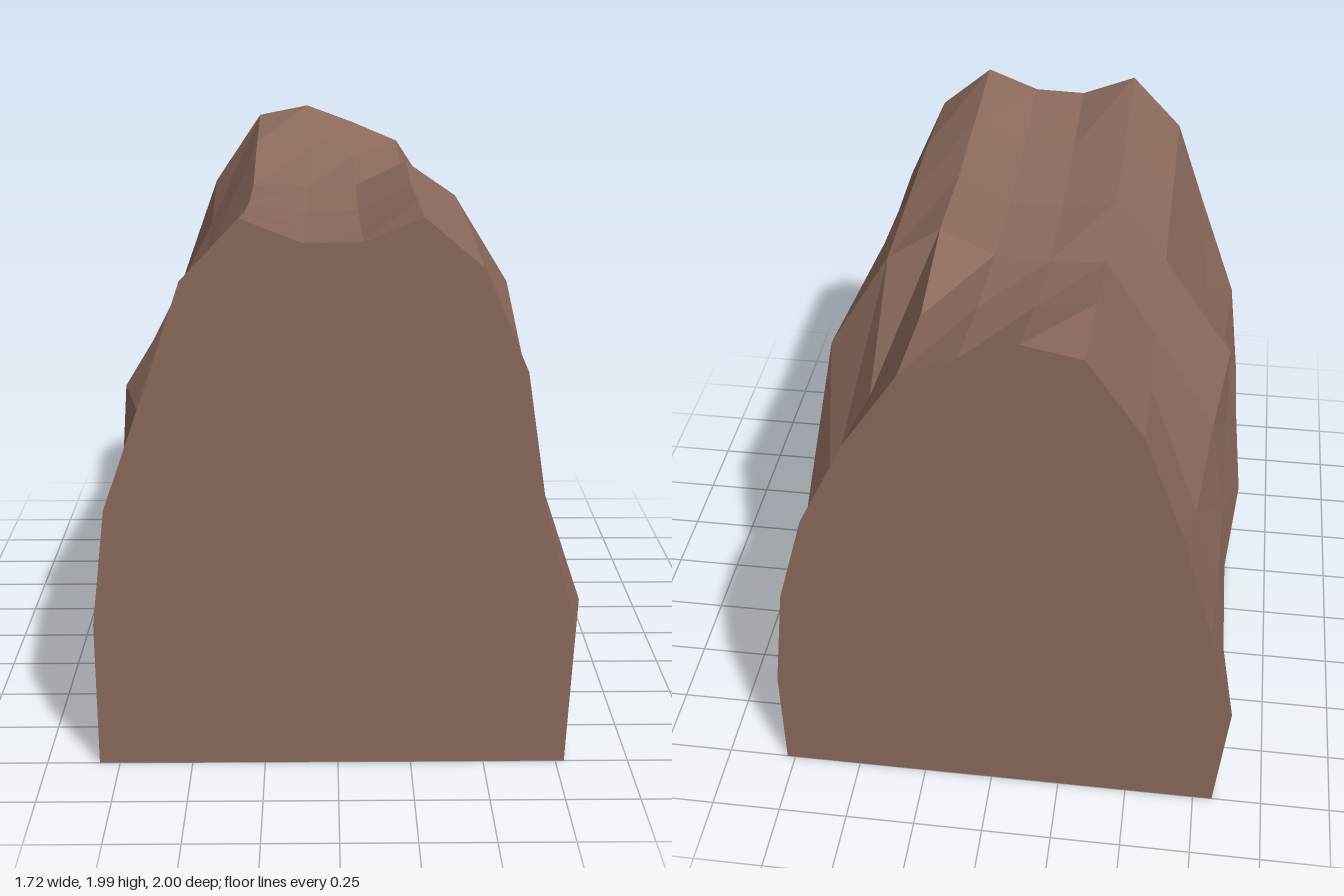
import * as THREE from 'three';

// Stations run front to back; lower rock courses are slightly shifted in z.
const TOP_Z = [1, 0.6, 0.2, -0.2, -0.6, -1];
const SIDE_Z = [1, 0.71, 0.25, -0.25, -0.69, -1];
const flat = (x, ...y) => ({ x: Array(6).fill(x), y: y.length ? y : Array(6).fill(0), z: TOP_Z });
const rough = (x, y) => ({ x, y, z: SIDE_Z });

// Lengthwise lines, from the left foot over the crest to the right foot
const rows = [
  flat(0.78),
  rough([0.80, 0.855, 0.83, 0.84, 0.80, 0.78], [0.50, 0.475, 0.50, 0.50, 0.42, 0.42]),
  rough([0.68, 0.72, 0.73, 0.74, 0.74, 0.73], [0.94, 0.87, 0.93, 0.90, 0.75, 0.84]),
  rough([0.61, 0.63, 0.67, 0.675, 0.61, 0.63], [1.40, 1.34, 1.29, 1.40, 1.06, 1.20]),
  flat(0.46, 1.74, 1.76, 1.755, 1.75, 1.44, 1.55),
  flat(0.27, 1.90, 1.88, 1.86, 1.88, 1.79, 1.84),
  flat(0.08, 1.825, 1.79, 1.77, 1.79, 1.84, 1.92),
  flat(-0.11, 1.82, 1.79, 1.76, 1.78, 1.86, 1.99),
  flat(-0.31, 1.90, 1.84, 1.80, 1.79, 1.89, 1.95),
  flat(-0.50, 1.70, 1.63, 1.56, 1.49, 1.56, 1.67),
  rough([-0.61, -0.66, -0.77, -0.72, -0.68, -0.645], [1.38, 1.12, 1.13, 1.16, 1.12, 1.27]),
  rough([-0.77, -0.75, -0.78, -0.78, -0.78, -0.76], [0.93, 0.78, 0.79, 0.76, 0.76, 0.85]),
  rough([-0.82, -0.83, -0.855, -0.81, -0.82, -0.86], [0.52, 0.49, 0.45, 0.47, 0.47, 0.46]),
  flat(-0.82),
];

export function createModel() {
  const group = new THREE.Group();
  group.name = 'rockMound';
  const rock = new THREE.MeshStandardMaterial({ color: 0x8c6a5d, flatShading: true, side: THREE.DoubleSide });
  rock.name = 'brown rock';

  // Faceted shell, open underneath
  const pos = [];
  const put = (i, s) => pos.push(rows[i].x[s], rows[i].y[s], rows[i].z[s]);
  for (let i = 0; i < rows.length - 1; i++) {
    for (let s = 0; s < 5; s++) {
      put(i, s); put(i, s + 1); put(i + 1, s);
      put(i, s + 1); put(i + 1, s + 1); put(i + 1, s);
    }
  }
  const shellGeo = new THREE.BufferGeometry();
  shellGeo.setAttribute('position', new THREE.Float32BufferAttribute(pos, 3));
  shellGeo.computeVertexNormals();
  const shell = new THREE.Mesh(shellGeo, rock);
  shell.name = 'rockShell';
  group.add(shell);

  // Flat end walls
  const addEnd = (name, s, side) => {
    const outline = rows.map((r) => new THREE.Vector2(r.x[s] * side, r.y[s]));
    const geo = new THREE.ShapeGeometry(new THREE.Shape(outline));
    if (side < 0) geo.rotateY(Math.PI);
    geo.translate(0, 0, side);
    const wall = new THREE.Mesh(geo, rock);
    wall.name = name;
    group.add(wall);
  };
  addEnd('frontWall', 0, 1);
  addEnd('backWall', 5, -1);
  return group;
}
